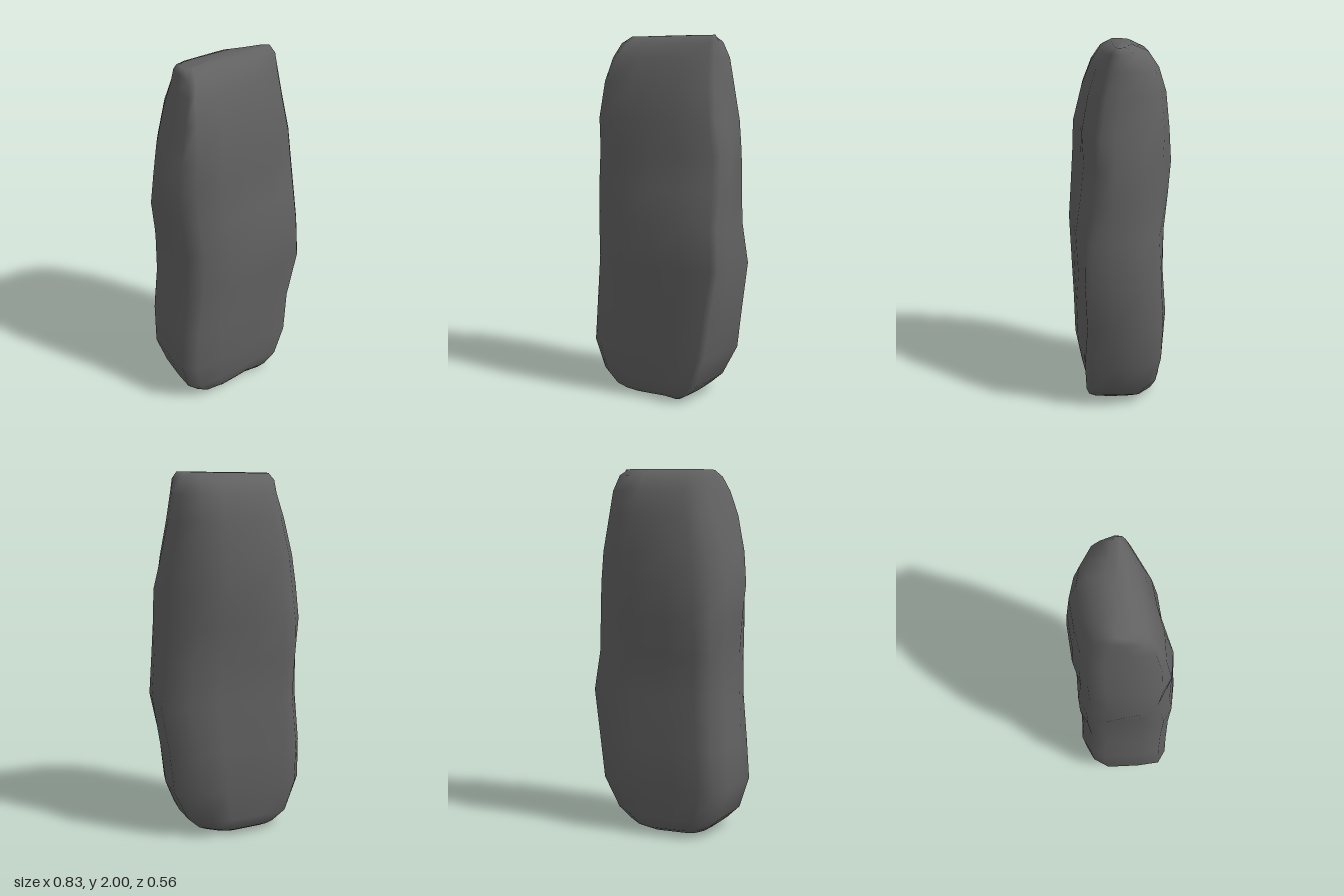
import * as THREE from 'three';

// Height, left and right extent in x, back and front extent in z,
// then how far the front-left, front-right, back-right and back-left corners bulge
const RINGS = [
  [0.005, -0.24, 0.16, -0.145, 0.178, 0.01, 0, 0, 0],
  [0.035, -0.28, 0.205, -0.205, 0.205, 0.025, 0, 0, 0],
  [0.10, -0.35, 0.27, -0.228, 0.225, 0.025, 0, 0.01, 0.01],
  [0.27, -0.405, 0.345, -0.245, 0.26, 0.02, -0.02, 0.03, 0.02],
  [0.50, -0.398, 0.375, -0.262, 0.265, 0.01, -0.025, 0.02, 0.03],
  [0.77, -0.38, 0.415, -0.242, 0.275, 0, -0.005, 0.025, 0.03],
  [1.00, -0.375, 0.397, -0.245, 0.285, 0, 0, 0.005, 0.045],
  [1.20, -0.395, 0.405, -0.265, 0.272, -0.01, -0.02, -0.015, 0.02],
  [1.38, -0.42, 0.402, -0.28, 0.262, -0.03, -0.03, -0.025, -0.03],
  [1.55, -0.38, 0.36, -0.27, 0.255, 0.005, -0.01, 0, -0.015],
  [1.75, -0.322, 0.32, -0.25, 0.205, 0.05, 0, 0, -0.01],
  [1.88, -0.287, 0.305, -0.21, 0.155, 0.06, 0, 0, -0.015],
  [1.965, -0.264, 0.297, -0.155, 0.105, 0.045, 0, -0.015, 0],
  [2.00, -0.245, 0.275, -0.07, 0.04, 0.04, 0, -0.02, 0],
];

// Skewed, rounded slab outline, running from the front left corner round to the back
const OUTLINE = [
  [-0.93, 0.74], [-0.74, 0.92], [-0.38, 1], [0.05, 0.91], [0.5, 0.8], [0.92, 0.58],
  [0.98, 0.45], [1, 0.1], [0.95, -0.55], [0.6, -0.88], [0.25, -1],
  [-0.25, -0.92], [-0.62, -0.85], [-0.82, -0.7], [-0.96, -0.36], [-1, 0.3],
];

// Corner that each outline point belongs to (-1 for none) and each corner's direction
const CORNER = [0, 0, -1, -1, 1, 1, 1, -1, 2, 2, -1, -1, 3, 3, 3, -1];
const DIRECTION = [[-1, 1], [1, 1], [1, -1], [-1, -1]];

function stoneGeometry() {
  const n = OUTLINE.length;
  const positions = [];
  const index = [];
  for (const [y, x0, x1, z0, z1, ...bulges] of RINGS) {
    OUTLINE.forEach(([u, v], j) => {
      let w = v;
      if (j === 3) w -= 0.1 * Math.exp(-(((y - 1.4) / 0.32) ** 2)); // shallow hollow in the face
      if (j === 5 || j === 6) w += (y < 1 ? 0.25 : 0.1) * (1 - y); // front edge draws back towards the top
      let x = (x0 + x1) / 2 + (u * (x1 - x0)) / 2;
      let z = (z0 + z1) / 2 + (w * (z1 - z0)) / 2;
      if (CORNER[j] >= 0) {
        const [dx, dz] = DIRECTION[CORNER[j]];
        const push = bulges[CORNER[j]] * Math.SQRT1_2;
        x = THREE.MathUtils.clamp(x + dx * push, x0, x1);
        z = THREE.MathUtils.clamp(z + dz * push, z0, z1);
      }
      const tilt = y > 1.9 ? 0.006 * (1 - u) : 0; // top slopes slightly
      positions.push(x, y - tilt, z);
    });
  }

  // Sides
  for (let r = 0; r < RINGS.length - 1; r++) {
    for (let j = 0; j < n; j++) {
      const k = (j + 1) % n;
      const a = r * n + j, b = r * n + k, c = a + n, d = b + n;
      index.push(a, b, d, a, d, c);
    }
  }

  // Base and top
  const base = positions.length / 3;
  const last = (RINGS.length - 1) * n;
  positions.push(-0.045, 0, 0.02, 0.02, 1.996, -0.015);
  for (let j = 0; j < n; j++) {
    const k = (j + 1) % n;
    index.push(k, j, base, last + j, last + k, base + 1);
  }

  const geometry = new THREE.BufferGeometry();
  geometry.setAttribute('position', new THREE.Float32BufferAttribute(positions, 3));
  geometry.setIndex(index);
  geometry.computeVertexNormals();
  return geometry;
}

export function createModel() {
  const group = new THREE.Group();
  group.name = 'standingStone';
  const stone = new THREE.MeshStandardMaterial({ color: 0x626262 });
  stone.name = 'darkStone';
  const mesh = new THREE.Mesh(stoneGeometry(), stone);
  mesh.name = 'stone';
  group.add(mesh);
  return group;
}
